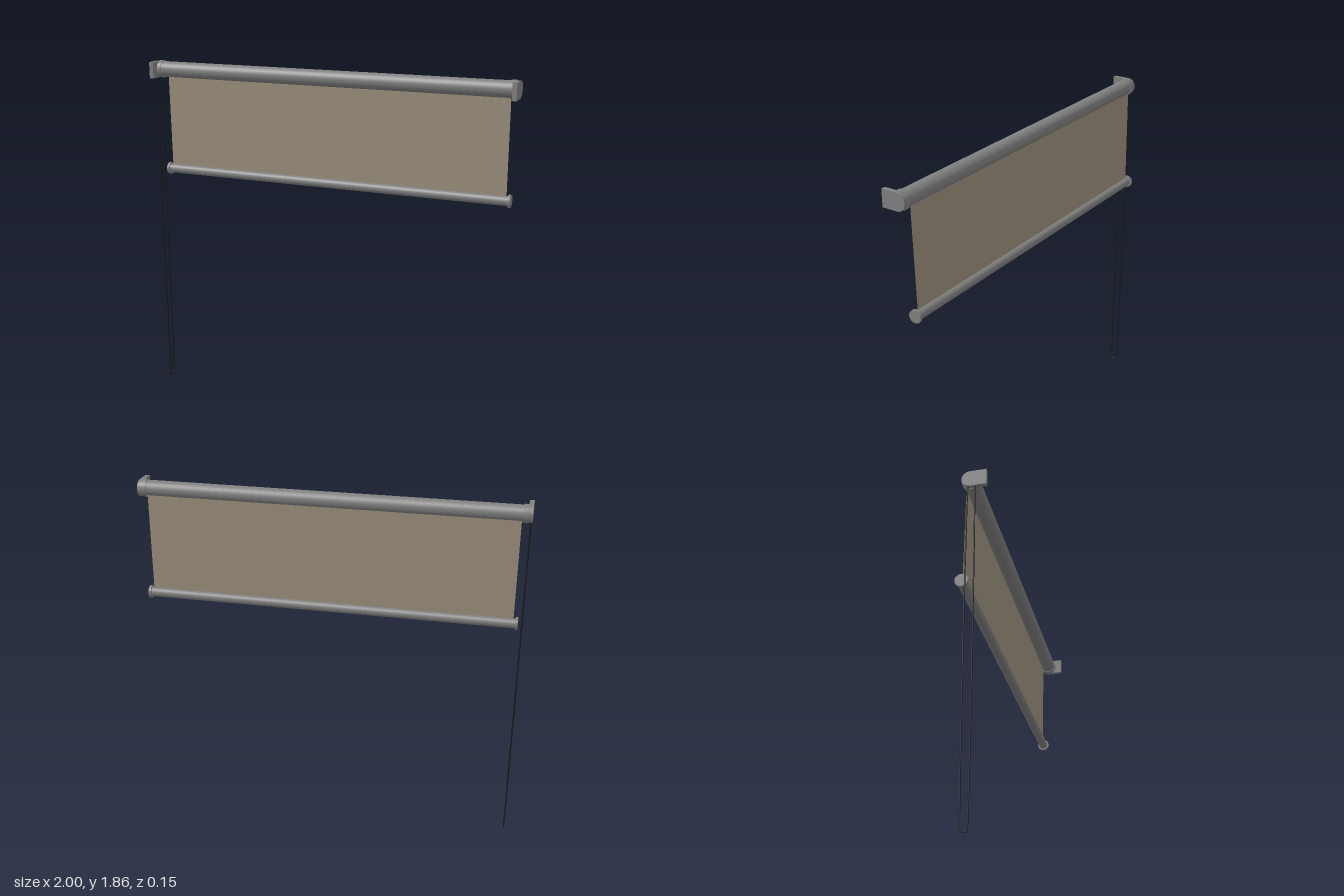
import * as THREE from 'three';

const ROLLER = { y: 1.813, z: -0.005, r: 0.042 };
const BAR = { y: 1.253, z: -0.044, r: 0.025 };

export function createModel() {
  const model = new THREE.Group();
  model.name = 'rollerBlind';
  const metal = new THREE.MeshStandardMaterial({ color: 0x808080 });
  metal.name = 'grey metal';
  const cloth = new THREE.MeshStandardMaterial({ color: 0x9b907d, side: THREE.DoubleSide });
  cloth.name = 'beige fabric';
  const black = new THREE.MeshStandardMaterial({ color: 0x1a1a1a });
  black.name = 'black cord';

  function add(name, geometry, material) {
    const mesh = new THREE.Mesh(geometry, material);
    mesh.name = name;
    model.add(mesh);
    return mesh;
  }

  // Cylinder lying along x, from x0 to x1
  function rod(name, x0, x1, radius, axis) {
    const g = new THREE.CylinderGeometry(radius, radius, Math.abs(x1 - x0), 48);
    g.rotateZ(Math.PI / 2);
    add(name, g, metal).position.set((x0 + x1) / 2, axis.y, axis.z);
  }

  // Roller tube and bottom bar
  rod('rollerTube', -0.96, 0.96, ROLLER.r, ROLLER);
  rod('bottomBar', -0.962, 0.962, BAR.r, BAR);

  // Wall bracket profile: square towards the front, round behind
  const profile = new THREE.Shape();
  const r = 0.0435;
  profile.moveTo(-0.082, -r);
  profile.lineTo(0, -r);
  profile.absarc(0, 0, r, -Math.PI / 2, Math.PI / 2, false);
  profile.lineTo(-0.082, r);
  profile.closePath();

  for (const [side, s] of [['left', 1], ['right', -1]]) {
    const g = new THREE.ExtrudeGeometry(profile, { depth: 0.023, bevelEnabled: false, curveSegments: 24 });
    g.rotateY(Math.PI / 2);
    add(side + 'Bracket', g, metal).position.set(s > 0 ? 0.977 : -1, ROLLER.y, ROLLER.z);
    rod(side + 'RollerCollar', s * 0.978, s * 0.955, 0.046, ROLLER);
    rod(side + 'BarCap', s * 0.973, s * 0.96, 0.033, BAR);
  }

  // Fabric hanging from the back of the roller, leaning slightly to the bar
  const top = 1.81, bottom = 1.255, zTop = -0.035, zBottom = -0.044;
  const fabric = new THREE.PlaneGeometry(1.9, Math.hypot(top - bottom, zTop - zBottom));
  fabric.rotateX(Math.atan2(zTop - zBottom, top - bottom));
  add('fabric', fabric, cloth).position.set(0, (top + bottom) / 2, (zTop + zBottom) / 2);

  // Endless pull cord: two straight runs joined by half circles
  const cordR = 0.0035, loopR = 0.0165;
  const points = [];
  for (const [cy, start] of [[ROLLER.y, 0], [cordR + loopR, Math.PI]]) {
    for (let i = 0; i <= 8; i++) {
      const a = start + (i / 8) * Math.PI;
      points.push(new THREE.Vector3(-0.992, cy + loopR * Math.sin(a), loopR * Math.cos(a)));
    }
  }
  const path = new THREE.CatmullRomCurve3(points, true, 'centripetal');
  path.arcLengthDivisions = 1000;
  add('pullCord', new THREE.TubeGeometry(path, 500, cordR, 8, true), black);

  return model;
}
